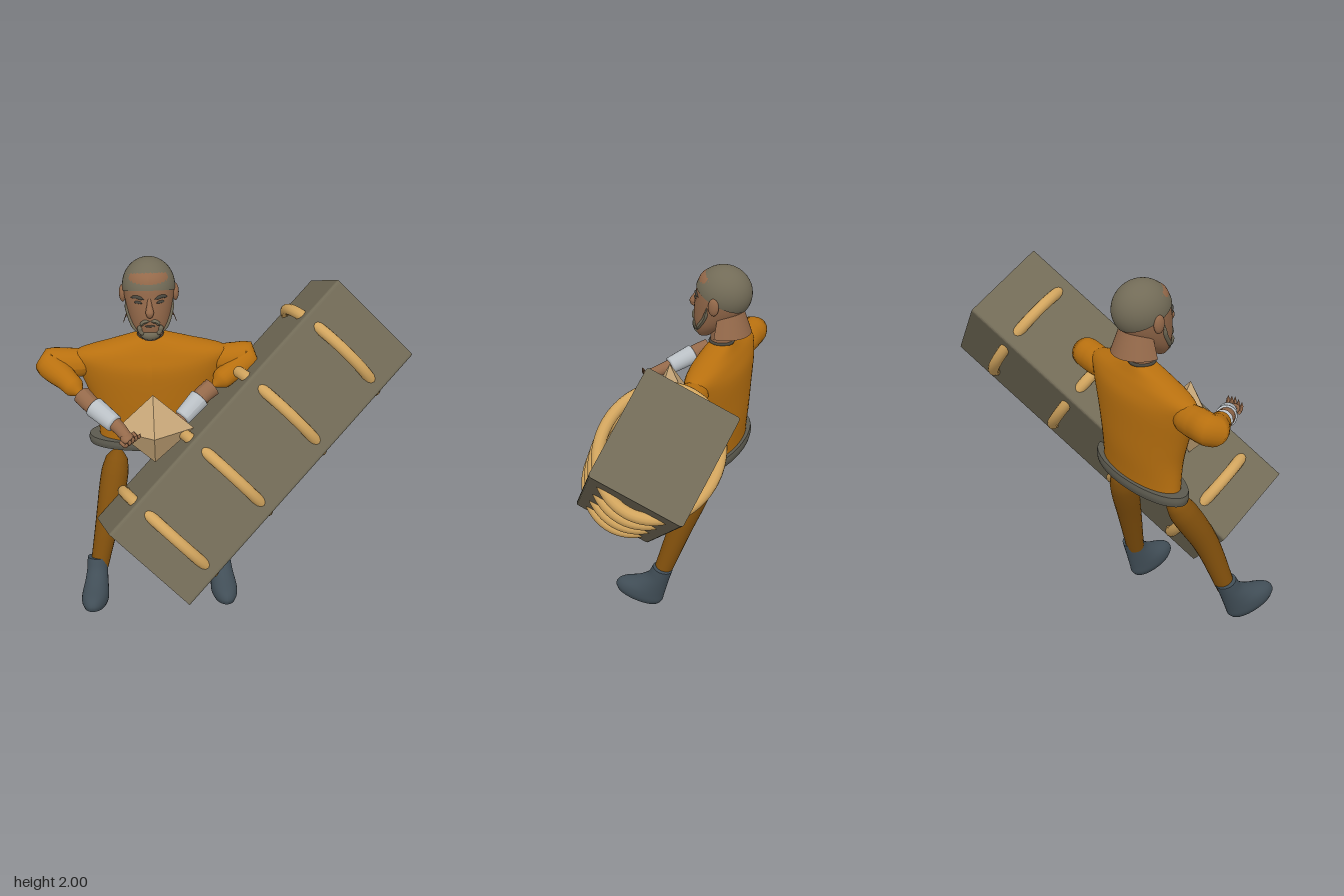
import * as THREE from 'three';

const V = (x, y, z) => new THREE.Vector3(x, y, z);
const mat = (name, color) => Object.assign(new THREE.MeshStandardMaterial({ color }), { name });
const lerp = THREE.MathUtils.lerp;

// Head cross-sections: [y, centre z, half width, half depth]
const HEAD = [[1.6, -0.1, 0.04, 0.035], [1.63, -0.115, 0.07, 0.06], [1.68, -0.145, 0.098, 0.1], [1.75, -0.178, 0.118, 0.135],
  [1.83, -0.195, 0.13, 0.143], [1.9, -0.2, 0.127, 0.138], [1.95, -0.2, 0.1, 0.115], [1.985, -0.2, 0.05, 0.06]];

// Stacks elliptical sections [y, centre z, half width, half depth] into a closed solid
function loft(sections, seg = 36, sub = 4) {
  const a = new THREE.CatmullRomCurve3(sections.map(s => V(s[0], s[1], 0)), false, 'catmullrom');
  const b = new THREE.CatmullRomCurve3(sections.map(s => V(s[2], s[3], 0)), false, 'catmullrom');
  const n = (sections.length - 1) * sub, pos = [], idx = [];
  const ring = (t, k) => {
    const c = a.getPoint(t), r = b.getPoint(t);
    for (let j = 0; j <= seg; j++) {
      const w = j / seg * Math.PI * 2;
      pos.push(Math.sin(w) * r.x * k, c.x, c.y + Math.cos(w) * r.y * k);
    }
  };
  const join = row => {
    for (let j = 0; j < seg; j++) {
      const p = row * (seg + 1) + j, q = p + seg + 1;
      idx.push(p, p + 1, q, p + 1, q + 1, q);
    }
  };
  ring(0, 0); ring(0, 1);
  for (let i = 0; i <= n; i++) ring(i / n, 1);
  ring(1, 1); ring(1, 0);
  join(0);
  for (let i = 0; i < n; i++) join(2 + i);
  join(n + 3);
  const g = new THREE.BufferGeometry();
  g.setAttribute('position', new THREE.Float32BufferAttribute(pos, 3));
  g.setIndex(idx);
  g.computeVertexNormals();
  return g;
}

// Tube along points whose radius follows a list of values
function limb(points, radii, seg = 16, steps = 28) {
  const curve = new THREE.CatmullRomCurve3(points.map(p => V(...p)));
  const g = new THREE.TubeGeometry(curve, steps, 1, seg, false), p = g.attributes.position, q = V();
  for (let i = 0; i <= steps; i++) {
    const c = curve.getPointAt(i / steps), f = i / steps * (radii.length - 1), k = Math.min(Math.floor(f), radii.length - 2);
    const r = lerp(radii[k], radii[k + 1], f - k);
    for (let j = 0; j <= seg; j++) {
      const v = i * (seg + 1) + j;
      q.fromBufferAttribute(p, v).sub(c).multiplyScalar(r).add(c);
      p.setXYZ(v, q.x, q.y, q.z);
    }
  }
  g.computeVertexNormals();
  return g;
}

// Depth of the face surface at a given x and y
function faceZ(x, y) {
  let k = 0;
  while (k < HEAD.length - 2 && HEAD[k + 1][0] < y) k++;
  const t = THREE.MathUtils.clamp((y - HEAD[k][0]) / (HEAD[k + 1][0] - HEAD[k][0]), 0, 1);
  const [cz, rx, rz] = [1, 2, 3].map(i => lerp(HEAD[k][i], HEAD[k + 1][i], t));
  return cz + rz * Math.sqrt(Math.max(0, 1 - (x / rx) ** 2));
}

export function createModel() {
  const model = new THREE.Group();
  model.name = 'manWithCrate';
  const shirt = mat('orange shirt', 0xb8700f), trouser = mat('brown trousers', 0x82500c), skin = mat('skin', 0x94694a);
  const stone = mat('olive grey', 0x726b57), beard = mat('dark beard', 0x49463d), white = mat('pale cuff', 0xb9bfc4);
  const boot = mat('slate boot', 0x414e57), rope = mat('rope gold', 0xd2a55e), tan = mat('gem tan', 0xcbaa7b), belt = mat('belt grey', 0x5c5a4f);
  skin.side = THREE.DoubleSide;
  const add = (parent, name, geo, m, x = 0, y = 0, z = 0) => {
    const o = new THREE.Mesh(geo, m);
    o.name = name;
    o.position.set(x, y, z);
    parent.add(o);
    return o;
  };

  // Crate: long slanted box with softened long edges
  const crate = new THREE.Group();
  crate.name = 'crate';
  const along = V(1.24, 1.04, -0.74).normalize();
  const front = V(0.4, -0.4, 0.12).cross(along).normalize();
  const side = along.clone().cross(front);
  crate.quaternion.setFromRotationMatrix(new THREE.Matrix4().makeBasis(side, along, front));
  crate.position.set(0.13, 1.02, 0);
  model.add(crate);
  const w = 0.29, h = 0.248, c = 0.018, s = new THREE.Shape();
  s.moveTo(-w + c, -h).lineTo(w - c, -h).quadraticCurveTo(w, -h, w, -h + c).lineTo(w, h - c).quadraticCurveTo(w, h, w - c, h);
  s.lineTo(-w + c, h).quadraticCurveTo(-w, h, -w, h - c).lineTo(-w, -h + c).quadraticCurveTo(-w, -h, -w + c, -h);
  const body = new THREE.ExtrudeGeometry(s, { depth: 1.78, bevelEnabled: false, curveSegments: 4 });
  add(crate, 'crateBody', body.translate(0, 0, -0.89).rotateX(-Math.PI / 2), stone);

  // Rope hoops that break through the middle of each crate face
  const hoop = [];
  for (let i = 0; i < 24; i++) hoop.push(V(0.328 * Math.cos(i * Math.PI / 12), 0, 0.29 * Math.sin(i * Math.PI / 12)));
  const hoopGeo = new THREE.TubeGeometry(new THREE.CatmullRomCurve3(hoop, true), 80, 0.031, 12, true);
  for (const y of [-0.68, -0.24, 0.2, 0.64]) add(crate, 'ropeHoop', hoopGeo, rope, 0, y, 0);

  // Floating gem
  const gem = add(model, 'gem', new THREE.OctahedronGeometry(1), tan, -0.4, 1.165, 0.105);
  gem.scale.set(0.21, 0.21, 0.105);

  // Torso, belt and neck
  const man = new THREE.Group();
  man.name = 'man';
  man.position.x = -0.4;
  model.add(man);
  add(man, 'torso', loft([[0.912, -0.2, 0.3, 0.115], [1.0, -0.2, 0.3, 0.12], [1.12, -0.2, 0.31, 0.13], [1.25, -0.197, 0.345, 0.135],
    [1.4, -0.195, 0.395, 0.135], [1.48, -0.195, 0.41, 0.11], [1.53, -0.195, 0.25, 0.085], [1.572, -0.2, 0.08, 0.06]], 48), shirt);
  add(man, 'belt', loft([[0.915, -0.2, 0.355, 0.135], [0.94, -0.2, 0.36, 0.14], [0.965, -0.2, 0.355, 0.135]], 48), belt);
  add(man, 'beltUnderside', loft([[0.909, -0.2, 0.32, 0.115], [0.914, -0.2, 0.32, 0.115]], 40, 1), shirt);
  add(man, 'neck', new THREE.CylinderGeometry(0.06, 0.062, 0.17, 24), skin, 0, 1.63, -0.2);
  add(man, 'collar', new THREE.TorusGeometry(0.062, 0.009, 8, 28).rotateX(Math.PI / 2), beard, 0, 1.575, -0.2);
  add(man, 'neckFlap', new THREE.CylinderGeometry(0.095, 0.14, 0.13, 24, 1, true, Math.PI * 0.47, Math.PI * 1.06), skin, 0, 1.7, -0.22);

  // Head and cropped hair
  add(man, 'head', loft(HEAD), skin);
  const hair = add(man, 'hair', new THREE.SphereGeometry(1, 36, 20, 0, Math.PI * 2, 0, 1.75).rotateX(-0.45), stone, 0, 1.853, -0.205);
  hair.scale.set(0.137, 0.147, 0.154);
  add(man, 'nose', limb([[0, 1.845, -0.06], [0, 1.81, -0.045], [0, 1.77, -0.032], [0, 1.752, -0.05]], [0.008, 0.014, 0.022, 0.01]), skin);

  // Strokes that follow the face surface
  const stroke = (name, pts, r, m) => add(man, name, limb(pts.map(([x, y]) => [x, y, faceZ(x, y)]), [0, r, r, r, 0], 8, 16), m);
  for (const k of [-1, 1]) {
    stroke('eyebrow', [[0.025 * k, 1.842], [0.06 * k, 1.852], [0.095 * k, 1.838]], 0.009, beard);
    stroke('eye', [[0.035 * k, 1.822], [0.055 * k, 1.825], [0.078 * k, 1.82]], 0.007, beard);
    stroke('moustache', [[0, 1.727], [0.03 * k, 1.72], [0.052 * k, 1.69]], 0.011, stone);
    stroke('goateeSide', [[0.052 * k, 1.7], [0.052 * k, 1.665], [0.03 * k, 1.635]], 0.014, stone);
    stroke('jawBeard', [[0.124 * k, 1.81], [0.112 * k, 1.74], [0.086 * k, 1.675], [0.045 * k, 1.63]], 0.012, stone);
    const ear = add(man, 'ear', new THREE.SphereGeometry(1, 16, 12), skin, 0.137 * k, 1.815, -0.2);
    ear.scale.set(0.018, 0.048, 0.03);
  }
  stroke('mouth', [[-0.03, 1.695], [0, 1.698], [0.03, 1.695]], 0.006, beard);
  const chin = add(man, 'chinBeard', new THREE.SphereGeometry(1, 20, 14), stone, 0, 1.638, -0.085);
  chin.scale.set(0.056, 0.038, 0.045);

  // Arms: sleeve through the elbow, bare wrist, cuff and hand
  const arm = (name, shoulder, elbow, cuffStart, cuffEnd, hand) => {
    const g = new THREE.Group();
    g.name = name;
    model.add(g);
    const S = V(...shoulder), E = V(...elbow), A = V(...cuffStart), B = V(...cuffEnd), H = V(...hand);
    const end = E.clone().lerp(A, 0.78), mid = S.clone().lerp(E, 0.6);
    add(g, 'sleeve', limb([S, mid, E, E.clone().lerp(end, 0.5), end, end.clone().lerp(A, 0.03)].map(p => p.toArray()),
      [0.05, 0.075, 0.08, 0.08, 0.076, 0.07, 0.06, 0.055, 0], 20, 36), shirt);
    add(g, 'forearm', limb([end.toArray(), A.toArray(), B.toArray(), H.toArray()], [0.05, 0.045, 0.038, 0.03]), skin);
    add(g, 'cuff', limb([A.toArray(), A.clone().lerp(B, 0.02).toArray(), A.clone().lerp(B, 0.98).toArray(), B.toArray()],
      [0, 0.056, 0.055, 0.054, 0.053, 0.052, 0.051, 0.05, 0.049, 0.048, 0], 20), white);
    const palm = add(g, 'palm', new THREE.SphereGeometry(1, 16, 12), skin, ...hand);
    palm.scale.set(0.036, 0.026, 0.045);
    const dir = H.clone().sub(B).normalize();
    for (let i = 0; i < 5; i++) {
      const o = (i - 2) * 0.016, base = H.clone().add(V(o, o * 0.4, -o * 0.6));
      const knuckle = base.clone().addScaledVector(dir, 0.045).add(V(0, 0.012, 0));
      const tip = knuckle.clone().add(V(0.012, 0.045 - Math.abs(o) * 0.4, 0.015));
      add(g, 'finger', limb([base, knuckle, tip].map(p => p.toArray()), [0.012, 0.011, 0.01, 0.009, 0], 8, 12), skin);
    }
  };
  arm('rightArm', [-0.7, 1.41, -0.2], [-0.94, 1.42, -0.19], [-0.72, 1.315, 0.08], [-0.59, 1.255, 0.2], [-0.54, 1.225, 0.27]);
  arm('leftArm', [-0.1, 1.41, -0.2], [0.12, 1.42, -0.19], [-0.14, 1.28, -0.03], [-0.26, 1.19, 0.06], [-0.32, 1.14, 0.1]);

  // Legs and boots
  const bootGeo = loft([[0, 0.125, 0.06, 0.13], [0.03, 0.125, 0.072, 0.145], [0.07, 0.115, 0.072, 0.135], [0.12, 0.075, 0.064, 0.095],
    [0.18, 0.045, 0.058, 0.065], [0.25, 0.035, 0.056, 0.058]], 28);
  const leg = (name, pts, foot, pitch, yaw) => {
    add(model, name, limb(pts, [0, 0.06, 0.075, 0.076, 0.074, 0.07, 0.066, 0.062, 0.058, 0.054, 0.05], 20), trouser);
    const b = add(model, name.replace('Leg', 'Boot'), bootGeo, boot, ...foot);
    b.rotation.set(pitch, yaw, 0, 'YXZ');
  };
  leg('rightLeg', [[-0.6, 0.905, -0.16], [-0.62, 0.8, -0.11], [-0.67, 0.57, 0.02], [-0.735, 0.28, 0.12]], [-0.75, 0.085, 0.16], -0.36, -0.12);
  leg('leftLeg', [[-0.22, 0.905, -0.2], [-0.2, 0.8, -0.18], [-0.13, 0.52, -0.09], [-0.06, 0.22, 0.0]], [-0.045, 0.005, 0.02], -0.26, 0.1);
  return model;
}
